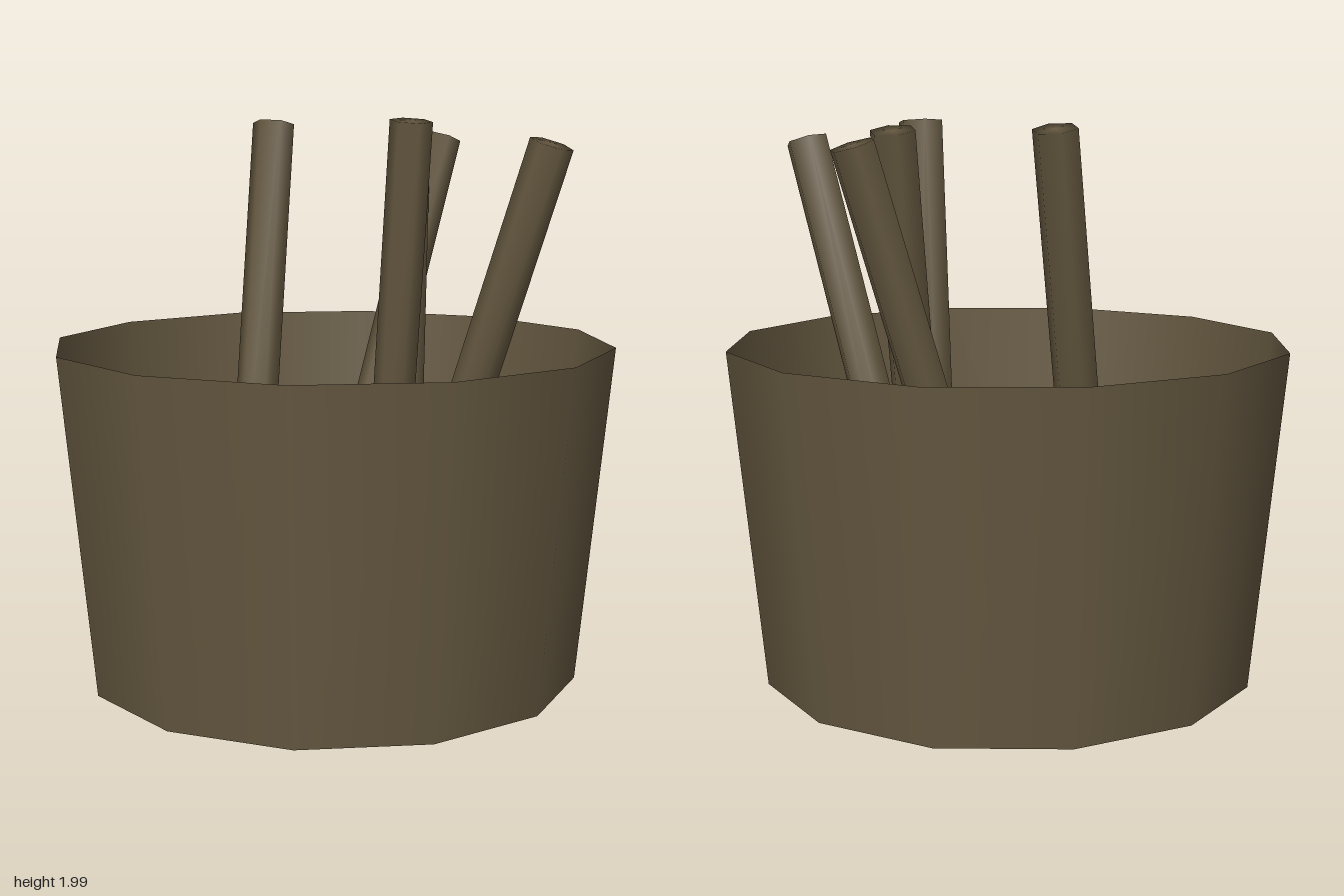
import * as THREE from 'three';
import { mergeVertices } from 'three/addons/utils/BufferGeometryUtils.js';

// Shares corners between caps and sides, for soft shading over every edge
function soften(geometry) {
  geometry.deleteAttribute('normal');
  geometry.deleteAttribute('uv');
  const merged = mergeVertices(geometry);
  merged.computeVertexNormals();
  return merged;
}

export function createModel() {
  const model = new THREE.Group();
  model.name = 'potWithSticks';

  const brown = new THREE.MeshStandardMaterial({ color: 0x655840, side: THREE.DoubleSide });
  brown.name = 'dull brown';

  const add = (name, geometry) => {
    const mesh = new THREE.Mesh(geometry, brown);
    mesh.name = name;
    model.add(mesh);
    return mesh;
  };

  // Thin flared wall, open at both ends
  add('potWall', new THREE.CylinderGeometry(1, 0.88, 1.2, 12, 1, true)).position.y = 0.6;

  // Loose floor disc, narrower than the wall
  add('floorDisc', soften(new THREE.CylinderGeometry(0.8, 0.8, 0.08, 12))).position.y = 0.12;

  // Leaning sticks: base centre, top centre
  const sticks = [
    [[-0.28, 0.13, -0.18], [-0.025, 1.965, -0.525]],
    [[0.31, 0.13, -0.27], [0.32, 1.98, -0.035]],
    [[0.29, 0.13, -0.07], [0.485, 1.96, -0.41]],
    [[0.08, 0.13, -0.30], [0.62, 1.915, -0.425]],
    [[0.29, 0.13, -0.07], [0.655, 1.905, 0.395]],
  ];
  const up = new THREE.Vector3(0, 1, 0);
  sticks.forEach(([from, to], i) => {
    const base = new THREE.Vector3(...from);
    const top = new THREE.Vector3(...to);
    const axis = top.clone().sub(base);
    const stick = add(`stick${i + 1}`, soften(new THREE.CylinderGeometry(0.078, 0.078, axis.length(), 6)));
    stick.position.copy(base).add(top).multiplyScalar(0.5);
    stick.quaternion.setFromUnitVectors(up, axis.normalize());
  });

  return model;
}
